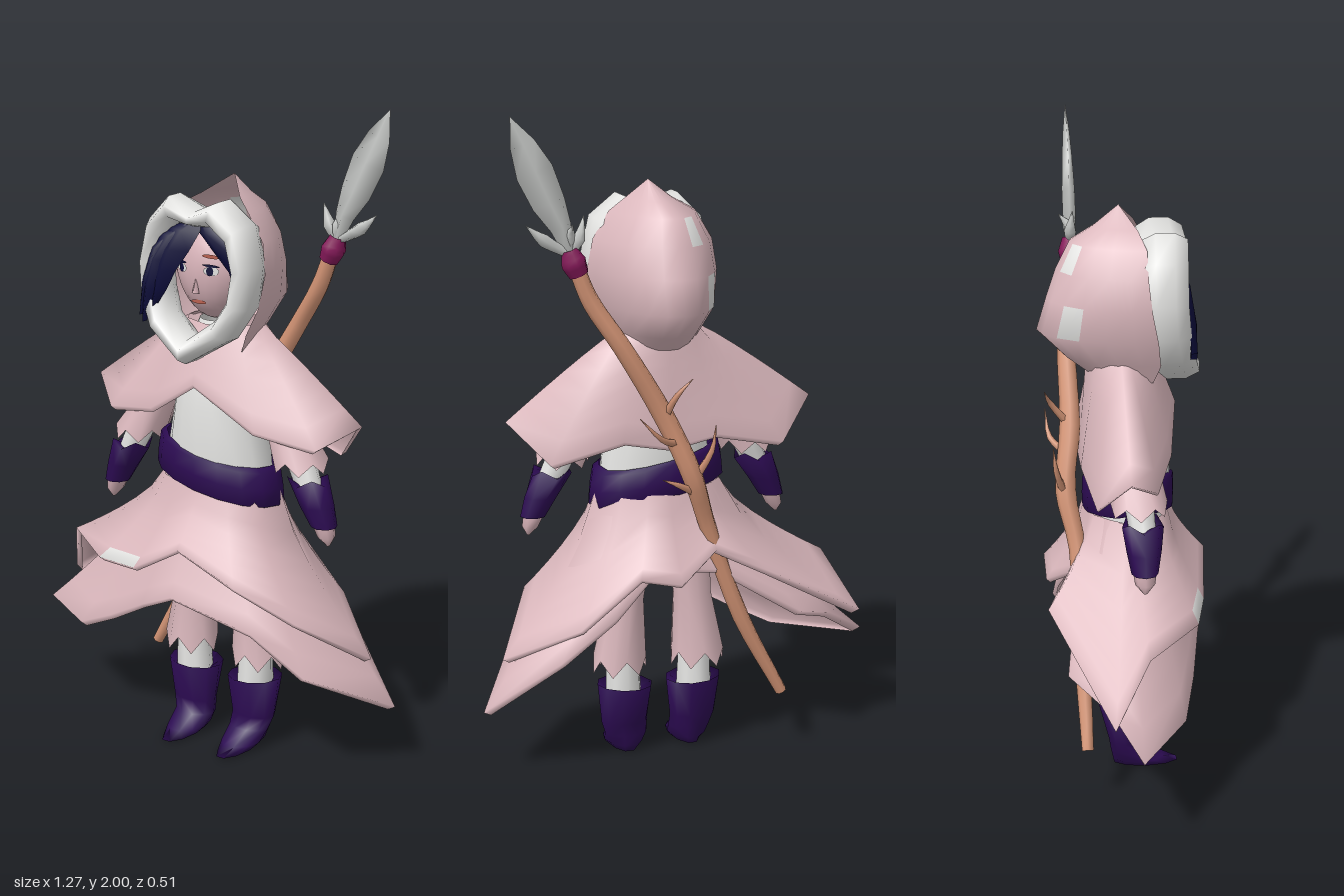
import * as THREE from 'three';

const mat = (name, color) => {
  const m = new THREE.MeshStandardMaterial({ color, side: THREE.DoubleSide });
  m.name = name;
  return m;
};
const V = (p) => new THREE.Vector3(...p);
const lerp = THREE.MathUtils.lerp;

// Surface through rows of points; paint lists "row,column" cells for the second material
function loft(rows, { ring = true, loop = false, paint = [] } = {}) {
  const n = rows[0].length, a = [], b = [];
  const rowCount = loop ? rows.length : rows.length - 1;
  for (let i = 0; i < rowCount; i++) {
    for (let j = 0; j < (ring ? n : n - 1); j++) {
      const i2 = (i + 1) % rows.length, j2 = (j + 1) % n;
      const q = [i * n + j, i2 * n + j, i2 * n + j2, i * n + j2];
      (paint.includes(`${i},${j}`) ? b : a).push(q[0], q[1], q[2], q[0], q[2], q[3]);
    }
  }
  const g = new THREE.BufferGeometry();
  g.setAttribute('position', new THREE.Float32BufferAttribute(rows.flat(2), 3));
  g.setIndex([...a, ...b]);
  if (b.length) {
    g.addGroup(0, a.length, 0);
    g.addGroup(a.length, b.length, 1);
  }
  g.computeVertexNormals();
  return g;
}

// Horizontal elliptical slice
const slice = (x, y, z, rx, rz, n = 12, wave = 0) => Array.from({ length: n }, (_, i) => {
  const a = (i / n) * Math.PI * 2;
  return [x + rx * Math.cos(a), y + (i % 2 ? wave : -wave), z + rz * Math.sin(a)];
});

// Draped cloth from an elliptical top edge to a freely shaped hem
function drape(top, hem, bend, paint = []) {
  const n = 6, rows = [];
  for (let k = 0; k <= n; k++) {
    const t = k / n;
    rows.push(hem.map(([x, y, z]) => {
      const a = Math.atan2(z / top.rz, (x - top.x) / top.rx);
      return [
        lerp(top.x + top.rx * Math.cos(a), x, t),
        lerp(top.y, y, t ** bend),
        lerp(top.z + top.rz * Math.sin(a), z, t),
      ];
    }));
  }
  rows.push(hem.map(([x, y, z]) => [lerp(x, top.x, 0.04), y - 0.012, z * 0.95]));
  return loft(rows, { paint });
}

// Round rod along a curve with changing radius
function rod(points, radii, sides = 7, steps = 20) {
  const curve = new THREE.CatmullRomCurve3(points.map(V));
  const { normals, binormals } = curve.computeFrenetFrames(steps);
  const rows = [];
  for (let i = 0; i <= steps; i++) {
    const p = curve.getPoint(i / steps), f = (i / steps) * (radii.length - 1);
    const k = Math.min(Math.floor(f), radii.length - 2);
    const r = lerp(radii[k], radii[k + 1], f - k);
    rows.push(Array.from({ length: sides }, (_, j) => {
      const a = (j / sides) * Math.PI * 2;
      return p.clone().addScaledVector(normals[i], r * Math.cos(a))
        .addScaledVector(binormals[i], r * Math.sin(a)).toArray();
    }));
  }
  return loft(rows);
}

export function createModel() {
  const cloth = mat('pink cloth', 0xdcb9be), skin = mat('skin', 0xd9b4ba);
  const white = mat('white fur and linen', 0xe4e4e2), purple = mat('purple leather', 0x2c0b52);
  const wood = mat('wood', 0xd39475), wrap = mat('magenta wrap', 0x86195a);
  const navy = mat('navy hair', 0x0b0b38), steel = mat('steel', 0xc6c8c6);
  const rose = mat('rose makeup', 0xb8604f);

  const model = new THREE.Group();
  model.name = 'hoodedFigure';
  const add = (name, geo, material, parent = model) => {
    const m = new THREE.Mesh(geo, material);
    m.name = name;
    parent.add(m);
    return m;
  };
  const C = 0.05; // body centre line

  // Torso and slanted sash
  add('torso', loft([[0.78, 0.19, 0.12], [0.95, 0.17, 0.125], [1.1, 0.14, 0.125], [1.22, 0.12, 0.1], [1.36, 0.06, 0.06]]
    .map(([y, rx, rz]) => slice(C, y, 0.02, rx, rz, 16))), white);
  add('sash', loft([[0.95, 0.18, 0.125], [0.94, 0.2, 0.14], [0.89, 0.21, 0.142], [0.84, 0.215, 0.14], [0.835, 0.19, 0.12]]
    .map(([y, rx, rz]) => slice(C, y, 0.015, rx, rz, 16).map(([x, yy, z]) => [x, yy - 0.2 * (x - C) + (z > 0 ? 0.01 : 0), z]))), purple);

  // Two skirt tiers
  const waist = { x: C, y: 0.86, z: 0.01, rx: 0.19, rz: 0.125 };
  add('lowerSkirt', drape(waist, [
    [0.63, 0.21, -0.08], [0.47, 0.35, 0.18], [0.3, 0.46, 0.21], [0.03, 0.53, 0.25], [-0.1, 0.47, 0.22],
    [-0.25, 0.39, 0.19], [-0.4, 0.32, 0.15], [-0.64, 0.31, 0], [-0.5, 0.4, -0.08], [-0.35, 0.46, -0.2],
    [-0.1, 0.61, -0.16], [0.1, 0.63, -0.16], [0.25, 0.5, -0.2], [0.42, 0.38, -0.2],
  ], 0.8), cloth);
  add('upperSkirt', drape({ ...waist, rx: 0.2, rz: 0.132 }, [
    [0.56, 0.36, -0.05], [0.43, 0.51, 0.17], [0.25, 0.6, 0.23], [0.06, 0.69, 0.255], [-0.12, 0.59, 0.235],
    [-0.28, 0.58, 0.2], [-0.51, 0.58, 0.03], [-0.6, 0.4, -0.08], [-0.22, 0.62, -0.25],
    [-0.08, 0.68, -0.18], [0.05, 0.6, -0.24], [0.18, 0.63, -0.24], [0.36, 0.48, -0.21],
  ], 0.7, ['5,4']), [cloth, white]);

  // Shoulder cape
  add('cape', drape({ x: C, y: 1.35, z: -0.01, rx: 0.12, rz: 0.1 }, [
    [0.53, 1.09, -0.02], [0.43, 1.02, 0.07], [0.25, 1.06, 0.13], [C, 1.18, 0.16], [-0.13, 1.07, 0.13],
    [-0.33, 1.03, 0.07], [-0.44, 1.1, -0.02], [-0.32, 0.98, -0.11], [-0.1, 1.03, -0.14],
    [C, 1, -0.135], [0.2, 1.03, -0.14], [0.42, 0.97, -0.11],
  ], 1.1), cloth);

  // Hood, open at the front and pointed at the back: y, half width, front z, back z
  const hoodRows = [[1.28, 0.12, 0.08, -0.1], [1.34, 0.15, 0.1, -0.18], [1.42, 0.185, 0.09, -0.26], [1.52, 0.195, 0.07, -0.23],
    [1.61, 0.18, 0.06, -0.2], [1.69, 0.13, 0.06, -0.16], [1.73, 0.07, 0.04, -0.09], [1.79, 0, -0.01, -0.01]];
  add('hood', loft(hoodRows.map(([y, rx, zf, zb], k) => Array.from({ length: 13 }, (_, i) => {
    const a = (i / 12) * Math.PI;
    return [C + (k > 5 ? 0.03 * (k - 5) / 2 : 0) + rx * Math.cos(a), y, lerp(zf, zb, Math.sin(a) ** 1.2)];
  })), { ring: false, paint: ['4,7', '2,8'] }), [cloth, white]);

  // Fur trim around the face: x offset, y, z, thickness
  const fur = [[0, 1.675, 0.12, 0.022], [0.07, 1.695, 0.115, 0.042], [0.14, 1.64, 0.11, 0.042], [0.165, 1.54, 0.11, 0.034],
    [0.155, 1.44, 0.12, 0.036], [0.11, 1.36, 0.14, 0.036], [0, 1.285, 0.165, 0.036],
    [-0.11, 1.36, 0.14, 0.034], [-0.15, 1.44, 0.12, 0.036], [-0.165, 1.53, 0.11, 0.032], [-0.14, 1.63, 0.11, 0.042], [-0.08, 1.695, 0.115, 0.042]];
  add('hoodFur', loft(fur.map(([x, y, z, r]) => {
    const d = Math.hypot(x, y - 1.5), ux = x / d, uy = (y - 1.5) / d;
    return Array.from({ length: 8 }, (_, i) => {
      const a = (i / 8 + 1 / 16) * Math.PI * 2, c = r * Math.cos(a) * 1.05;
      return [C + x + ux * c, y + uy * c, z + 0.075 * Math.sin(a)];
    });
  }), { loop: true }), white);

  // Head with tapered chin
  const headGeo = new THREE.SphereGeometry(1, 24, 18);
  const hp = headGeo.attributes.position;
  for (let i = 0; i < hp.count; i++) {
    const y = hp.getY(i), taper = y < 0 ? 1 + 0.2 * y : 1;
    hp.setXYZ(i, C + hp.getX(i) * 0.13 * taper, 1.52 + y * 0.16, 0.03 + hp.getZ(i) * 0.115);
  }
  headGeo.computeVertexNormals();
  add('head', headGeo, skin);
  const plate = (name, x, y, z, w, h, material, turn = 0, roll = 0) => {
    const m = add(name, new THREE.CircleGeometry(1, 12), material);
    m.position.set(C + x, y, z);
    m.rotation.set(0, turn, roll);
    m.scale.set(w, h, 1);
  };
  for (const s of [-1, 1]) {
    plate('eyeWhite', s * 0.052, 1.525, 0.138, 0.024, 0.014, white, s * 0.38);
    plate('iris', s * 0.05, 1.525, 0.142, 0.011, 0.014, navy, s * 0.38);
    plate('lash', s * 0.053, 1.541, 0.14, 0.027, 0.004, navy, s * 0.38, -s * 0.1);
    plate('eyebrow', s * 0.052, 1.568, 0.138, 0.027, 0.006, rose, s * 0.38, -s * 0.1);
  }
  plate('mouth', 0, 1.425, 0.127, 0.027, 0.006, rose);
  const nose = add('nose', new THREE.ConeGeometry(0.013, 0.05, 4), skin);
  nose.position.set(C, 1.48, 0.142);

  // Hair locks: rows of left x, right x, y, z
  const lock = (rows) => add('hairLock', loft(rows.map(([l, r, y, z]) =>
    [[l, y, z - 0.012], [(l + r) / 2, y, z + 0.008], [r, y, z - 0.012]]), { ring: false }), navy);
  lock([[0.02, 0.08, 1.67, 0.13], [-0.04, 0.07, 1.64, 0.16], [-0.08, 0.04, 1.58, 0.175], [-0.08, 0, 1.52, 0.185], [-0.08, -0.03, 1.46, 0.19], [-0.07, -0.065, 1.41, 0.19]]);
  lock([[0, 0.06, 1.665, 0.13], [-0.07, 0.02, 1.62, 0.165], [-0.1, -0.03, 1.55, 0.185], [-0.105, -0.06, 1.46, 0.2], [-0.1, -0.095, 1.36, 0.2]]);
  lock([[-0.05, 0, 1.64, 0.14], [-0.09, -0.04, 1.58, 0.18], [-0.115, -0.08, 1.48, 0.195], [-0.11, -0.105, 1.38, 0.2]]);
  lock([[0.04, 0.1, 1.67, 0.13], [0.06, 0.14, 1.64, 0.155], [0.11, 0.17, 1.58, 0.145], [0.15, 0.18, 1.53, 0.13], [0.17, 0.175, 1.49, 0.12]]);

  // Arms and legs, mirrored about the centre line
  for (const s of [1, -1]) {
    const side = new THREE.Group();
    side.name = s > 0 ? 'leftLimbs' : 'rightLimbs';
    side.position.x = C;
    side.scale.x = s;
    model.add(side);
    add('sleeve', loft([slice(0.15, 1.24, 0, 0.05, 0.06), slice(0.22, 1.1, 0.01, 0.06, 0.065), slice(0.295, 0.955, 0.02, 0.08, 0.085, 12, 0.018)]), cloth, side);
    add('forearm', rod([[0.24, 1.08, 0.01], [0.29, 0.98, 0.02], [0.34, 0.87, 0.03]], [0.045, 0.045, 0.038], 8, 4), white, side);
    add('gauntlet', loft([slice(0.325, 0.9, 0.03, 0.03, 0.03, 8), slice(0.325, 0.915, 0.03, 0.062, 0.062, 8, 0.012),
      slice(0.36, 0.84, 0.03, 0.052, 0.052, 8), slice(0.386, 0.78, 0.03, 0.04, 0.04, 8)]), purple, side);
    add('hand', loft([slice(0.382, 0.79, 0.03, 0.034, 0.036, 8), slice(0.395, 0.75, 0.03, 0.026, 0.03, 8), slice(0.402, 0.722, 0.03, 0.004, 0.006, 8)]), skin, side);
    add('trouserLeg', loft([slice(0.08, 0.8, 0, 0.08, 0.08), slice(0.11, 0.5, -0.01, 0.06, 0.06), slice(0.127, 0.29, -0.01, 0.085, 0.075, 12, 0.025)]), cloth, side);
    add('shin', loft([slice(0.12, 0.4, -0.01, 0.05, 0.05, 8), slice(0.115, 0.18, -0.01, 0.058, 0.058, 8)]), white, side);
    // y, heel z, toe z, half width
    add('boot', loft([[0.19, -0.05, 0.03, 0.03], [0.225, -0.092, 0.066, 0.088], [0.1, -0.058, 0.042, 0.074], [0.06, -0.052, 0.055, 0.068],
      [0.025, -0.046, 0.12, 0.06], [0.005, -0.042, 0.168, 0.045], [0, 0, 0.05, 0]]
      .map(([y, zb, zf, w], k) => slice(0.112 - (k > 2 ? 0.008 : 0), y, (zb + zf) / 2, w, (zf - zb) / 2, 10)
        .map(([x, yy, z]) => [x, k === 1 ? yy - (x - 0.112) * -0.05 : yy, z]))), purple, side);
  }

  // Crooked spear carried on the back
  const spear = new THREE.Group();
  spear.name = 'spear';
  model.add(spear);
  add('shaft', rod([[-0.31, 0.185, -0.14], [-0.17, 0.45, -0.145], [-0.06, 0.75, -0.15], [0, 0.92, -0.18], [0.08, 1.1, -0.16],
    [0.21, 1.32, -0.16], [0.3, 1.46, -0.14], [0.34, 1.56, -0.135]], [0.018, 0.026, 0.026, 0.032, 0.032, 0.028, 0.027, 0.024], 8, 28), wood, spear);
  const twigs = [[[0, 0.9, -0.18], [-0.05, 1, -0.21], [-0.06, 1.08, -0.22]], [[0.04, 1.02, -0.17], [0.11, 1.05, -0.22], [0.18, 1.12, -0.23]],
    [[0.08, 1.1, -0.16], [0.06, 1.18, -0.22], [0.02, 1.23, -0.24]], [[-0.02, 0.86, -0.17], [0.05, 0.9, -0.2], [0.1, 0.92, -0.2]]];
  twigs.forEach((t) => add('twig', rod(t, [0.014, 0.009, 0.001], 5, 6), wood, spear));
  add('binding', rod([[0.332, 1.54, -0.135], [0.348, 1.575, -0.135], [0.362, 1.615, -0.135]], [0.03, 0.038, 0.024], 8, 6), wrap, spear);
  // centre x, y, half width, half thickness
  const blade = [[0.36, 1.6, 0.014, 0.014], [0.385, 1.68, 0.03, 0.02], [0.42, 1.75, 0.046, 0.02], [0.46, 1.84, 0.052, 0.016], [0.495, 1.92, 0.035, 0.01], [0.53, 2, 0, 0]];
  add('blade', loft(blade.map(([x, y, w, d]) => [[x - w, y + w * 0.4, -0.135], [x, y, -0.135 + d], [x + w, y - w * 0.4, -0.135], [x, y, -0.135 - d]])), steel, spear);
  for (const tip of [[0.315, 1.71, -0.13], [0.49, 1.69, -0.14], [0.36, 1.69, -0.17]]) {
    add('barb', rod([[0.36, 1.6, -0.135], [lerp(0.36, tip[0], 0.6), 1.645, -0.135], tip], [0.012, 0.02, 0.001], 5, 6), steel, spear);
  }
  return model;
}
